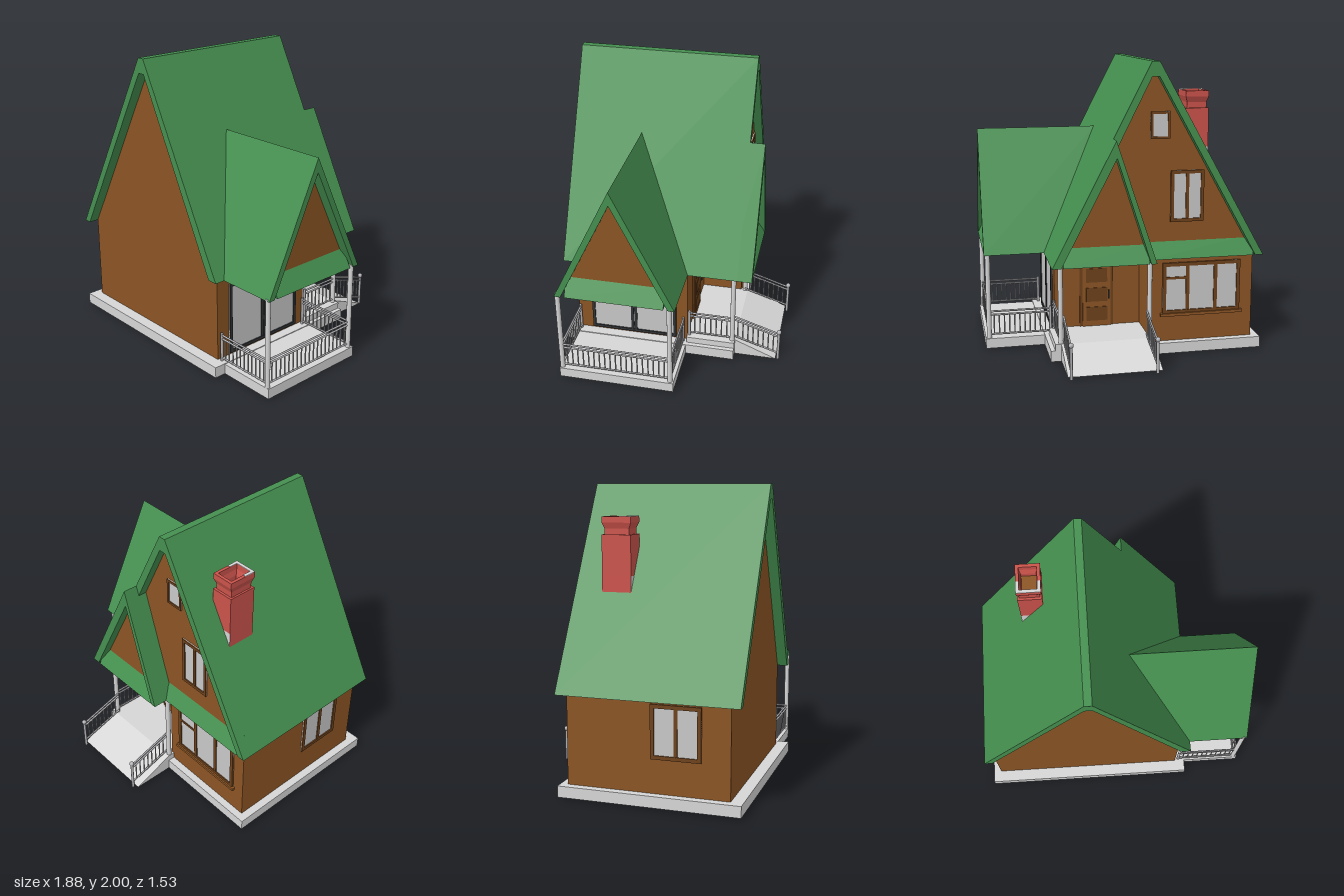
import * as THREE from 'three';

const mat = (name, color, side = THREE.FrontSide) => {
  const m = new THREE.MeshStandardMaterial({ color, side });
  m.name = name;
  return m;
};

export function createModel() {
  const house = new THREE.Group();
  house.name = 'house';
  const green = mat('roof green', 0x459050);
  const brown = mat('wall brown', 0x8c5524);
  const trim = mat('trim brown', 0x6e421c);
  const grey = mat('stone grey', 0xd6d6d6);
  const metal = mat('railing grey', 0xb4b4b8);
  const glass = mat('glass grey', 0xc8c8c8);
  const dark = mat('frame black', 0x303234);
  const red = mat('brick red', 0xcb534b);

  const add = (name, geo, material, parent = house) => {
    const m = new THREE.Mesh(geo, material);
    m.name = name;
    parent.add(m);
    return m;
  };
  const box = (name, x0, x1, y0, y1, z0, z1, material, parent) => {
    const g = new THREE.BoxGeometry(x1 - x0, y1 - y0, z1 - z0);
    g.translate((x0 + x1) / 2, (y0 + y1) / 2, (z0 + z1) / 2);
    return add(name, g, material, parent);
  };
  // Prism along an axis. Points are (x,y) for axis z, (z,y) for axis x, (x,z) for axis y
  const prism = (name, axis, pts, from, to, material) => {
    const map = { z: ([a, b]) => [a, b], x: ([a, b]) => [-a, b], y: ([a, b]) => [a, -b] }[axis];
    const shape = new THREE.Shape(pts.map((p) => new THREE.Vector2(...map(p))));
    const g = new THREE.ExtrudeGeometry(shape, { depth: to - from, bevelEnabled: false });
    g.translate(0, 0, from);
    if (axis === 'x') g.rotateY(Math.PI / 2);
    if (axis === 'y') g.rotateX(-Math.PI / 2);
    return add(name, g, material);
  };
  // Roof shell: outer profile down to the eaves, back along the inner profile
  const roof = (name, axis, outer, inner, from, to) =>
    prism(name, axis, [...outer, ...inner.slice().reverse()], from, to, green);

  // Foundation, porch floors and ramp
  box('foundation', -0.94, 0.53, 0.01, 0.085, -0.44, 0.77, grey);
  box('sidePorchFloor', 0.5, 0.94, 0.01, 0.08, -0.1, 0.69, grey);
  box('backPorchFloor', -0.17, 0.5, 0.08, 0.13, -0.44, -0.1, grey);
  prism('entranceRamp', 'x', [[-0.44, 0.01], [-0.44, 0.13], [-0.73, 0.01]], -0.17, 0.46, grey);

  // Walls: ground floor with recessed back porch, then gable
  prism('groundFloorWalls', 'y', [[-0.885, 0.69], [0.46, 0.69], [0.46, -0.1], [-0.15, -0.1],
    [-0.15, -0.39], [-0.885, -0.39]], 0.08, 0.68, brown);
  const mainInner = [[-0.885, 0.68], [-0.2, 1.9], [-0.15, 1.9], [0.46, 0.68]];
  prism('mainGable', 'z', mainInner, -0.39, 0.69, brown);
  roof('mainRoof', 'z', [[-0.94, 0.68], [-0.2, 2], [-0.15, 2], [0.53, 0.68]], mainInner, -0.45, 0.76);
  prism('mainSkirtRoof', 'x', [[-0.45, 0.68], [-0.38, 0.81], [-0.38, 0.68]], -0.87, -0.14, green);

  // Side porch roof
  const sideInner = [[-0.07, 0.68], [0.29, 1.41], [0.645, 0.68]];
  prism('sideGable', 'x', sideInner, 0.1, 0.87, brown);
  roof('sideRoof', 'x', [[-0.115, 0.68], [0.29, 1.505], [0.69, 0.68]], sideInner, 0.1, 0.94);
  prism('sideSkirtRoof', 'z', [[0.94, 0.68], [0.865, 0.81], [0.865, 0.68]], -0.04, 0.62, green);

  // Back porch roof
  const backInner = [[-0.13, 0.68], [0.1, 1.39], [0.47, 0.68]];
  prism('backGable', 'z', backInner, -0.485, -0.38, brown);
  roof('backRoof', 'z', [[-0.17, 0.68], [0.105, 1.505], [0.53, 0.68]], backInner, -0.55, -0.38);
  prism('backSkirtRoof', 'x', [[-0.55, 0.68], [-0.48, 0.81], [-0.48, 0.68]], -0.12, 0.455, green);

  // Chimney: shaft with grey footing, flared hollow cap
  box('chimneyFooting', -0.59, -0.43, 1.2, 1.41, -0.26, -0.06, [red, red, grey, grey, grey, grey]);
  box('chimneyShaft', -0.59, -0.43, 1.41, 1.675, -0.26, -0.06, red);
  const rect = (T, w, h) => new T([[-w, -h], [w, -h], [w, h], [-w, h]].map((p) => new THREE.Vector2(...p)));
  const capShape = rect(THREE.Shape, 0.08, 0.1);
  capShape.holes.push(rect(THREE.Path, 0.058, 0.078));
  const cap = new THREE.ExtrudeGeometry(capShape, { depth: 0.115, steps: 3, bevelEnabled: false });
  cap.rotateX(-Math.PI / 2);
  const p = cap.attributes.position;
  for (let i = 0; i < p.count; i++) {
    const k = p.getY(i) < 0.05 ? 0.84 : 1;
    p.setX(i, p.getX(i) * k);
    p.setZ(i, p.getZ(i) * k);
  }
  cap.computeVertexNormals();
  cap.translate(-0.51, 1.675, -0.16);
  add('chimneyCap', cap, red);
  box('chimneyFlue', -0.566, -0.454, 1.675, 1.68, -0.236, -0.084, brown);
  box('chimneyRimFront', -0.59, -0.43, 1.788, 1.793, -0.082, -0.06, grey);
  for (const x of [-0.59, -0.452]) box('chimneyRimSide', x, x + 0.022, 1.788, 1.793, -0.14, -0.082, grey);

  // Framed window or glazed door, facing local +z
  const windowAt = (name, x, y, z, turn, w, h, frame, t, bars, crossbars = []) => {
    const g = new THREE.Group();
    g.name = name;
    g.position.set(x, y, z);
    g.rotation.y = turn;
    house.add(g);
    box('pane', -w / 2, w / 2, -h / 2, h / 2, 0, 0.006, glass, g);
    for (const s of [-1, 1]) {
      box('frameSide', s * (w - t) / 2 - t / 2, s * (w - t) / 2 + t / 2, -h / 2, h / 2, 0, 0.014, frame, g);
      box('frameRail', -w / 2, w / 2, s * (h - t) / 2 - t / 2, s * (h - t) / 2 + t / 2, 0, 0.014, frame, g);
    }
    for (const b of bars) box('mullion', b * w - t / 2, b * w + t / 2, -h / 2, h / 2, 0, 0.012, frame, g);
    for (const [a, b, v] of crossbars) box('crossbar', a * w, b * w, v * h - t / 3, v * h + t / 3, 0, 0.011, frame, g);
    return g;
  };
  windowAt('slidingDoor', 0.46, 0.35, 0.285, Math.PI / 2, 0.61, 0.5, dark, 0.02, [-0.02, 0.02]);
  windowAt('leftWindow', -0.885, 0.485, 0.34, -Math.PI / 2, 0.33, 0.35, trim, 0.025, [0]);
  const bay = windowAt('groundWindow', -0.52, 0.46, -0.39, Math.PI, 0.55, 0.36, trim, 0.025,
    [-0.18, 0.18], [[-0.5, -0.18, 0.2]]);
  box('sill', -0.29, 0.29, -0.195, -0.175, 0, 0.025, brown, bay);
  windowAt('middleWindow', -0.41, 1.1, -0.39, Math.PI, 0.23, 0.35, trim, 0.022, [0]);
  windowAt('atticWindow', -0.22, 1.58, -0.39, Math.PI, 0.13, 0.18, trim, 0.015, []);

  // Entrance door with raised panels and handle
  box('entranceDoorFrame', 0.04, 0.28, 0.13, 0.61, -0.11, -0.1, trim);
  box('entranceDoor', 0.06, 0.26, 0.13, 0.59, -0.116, -0.1, brown);
  for (const y of [0.17, 0.31, 0.45]) box('doorPanel', 0.085, 0.235, y, y + 0.1, -0.121, -0.115, trim);
  box('doorHandle', 0.07, 0.08, 0.33, 0.39, -0.13, -0.115, dark);

  // Round bar between two points
  const bar = (name, a, b, r, material, sides = 6) => {
    const v0 = new THREE.Vector3(...a), v1 = new THREE.Vector3(...b);
    const dir = v1.clone().sub(v0);
    const m = add(name, new THREE.CylinderGeometry(r, r, dir.length(), sides), material);
    m.position.copy(v0).add(v1).multiplyScalar(0.5);
    m.quaternion.setFromUnitVectors(new THREE.Vector3(0, 1, 0), dir.normalize());
  };
  const up = ([x, y, z], h) => [x, y + h, z];
  const railing = (a, b) => {
    for (const h of [0.025, 0.165, 0.19]) bar('handrail', up(a, h), up(b, h), 0.007, metal);
    const n = Math.round(Math.hypot(b[0] - a[0], b[2] - a[2]) / 0.037);
    for (let i = 1; i < n; i++) {
      const q = a.map((v, k) => v + (b[k] - v) * i / n);
      bar('baluster', up(q, 0.025), up(q, 0.165), 0.005, metal, 5);
    }
  };

  // Roof posts
  for (const [x, y, z] of [[0.915, 0.08, 0.675], [0.915, 0.08, -0.075], [0.46, 0.13, -0.42], [-0.15, 0.13, -0.42]])
    bar('roofPost', [x, y, z], [x, 0.69, z], 0.017, grey, 12);

  // Porch railings
  railing([0.915, 0.08, 0.675], [0.915, 0.08, -0.075]);
  for (const z of [0.675, -0.075]) {
    railing([0.485, 0.08, z], [0.915, 0.08, z]);
    bar('railPost', [0.485, 0.08, z], [0.485, 0.285, z], 0.01, metal, 8);
  }
  railing([0.465, 0.13, -0.115], [0.465, 0.13, -0.42]);
  bar('railPost', [0.465, 0.13, -0.115], [0.465, 0.335, -0.115], 0.01, metal, 8);

  // Ramp railings with ball-topped end posts
  for (const x of [-0.13, 0.44]) {
    railing([x, 0.13, -0.42], [x, 0.025, -0.745]);
    bar('endPost', [x, 0, -0.745], [x, 0.22, -0.745], 0.01, metal, 8);
    add('postBall', new THREE.SphereGeometry(0.017, 12, 8), metal).position.set(x, 0.23, -0.745);
  }
  return house;
}
